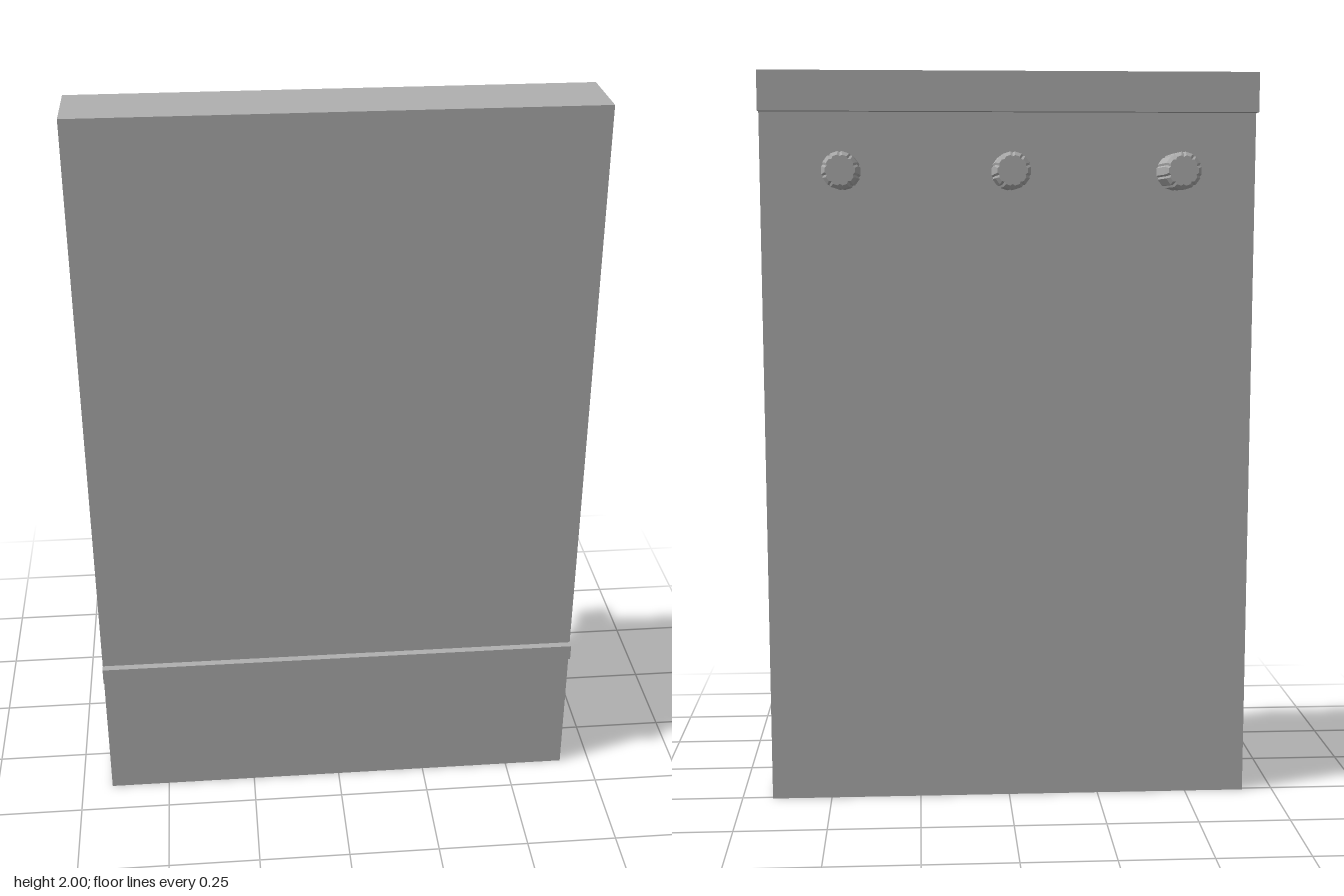
import * as THREE from 'three';

const WIDTH = 1.33;

// Closed shape from a list of [x, y] points
function polygon(points) {
  return new THREE.Shape(points.map(([x, y]) => new THREE.Vector2(x, y)));
}

// Fluted dowel with a chamfered tip, pointing to -z from z = 0
function dowelGeometry(radius, length) {
  const flutes = 10, points = [], step = (Math.PI * 2) / flutes;
  for (let i = 0; i < flutes; i++) {
    for (const [offset, r] of [[-0.33, radius], [0.33, radius], [0.5, radius * 0.93]]) {
      const a = (i + offset) * step;
      points.push([Math.cos(a) * r, Math.sin(a) * r]);
    }
  }
  const chamfer = 0.009;
  const geometry = new THREE.ExtrudeGeometry(polygon(points), {
    depth: length - chamfer, bevelEnabled: true, bevelSegments: 1,
    bevelSize: chamfer, bevelThickness: chamfer, bevelOffset: -chamfer,
  });
  return geometry.rotateY(Math.PI);
}

export function createModel() {
  const model = new THREE.Group();
  model.name = 'panel';
  const grey = new THREE.MeshStandardMaterial({ color: 0xb0b0b0 });
  grey.name = 'plain grey';

  const add = (name, geometry, x, y, z) => {
    const mesh = new THREE.Mesh(geometry, grey);
    mesh.name = name;
    mesh.position.set(x, y, z);
    model.add(mesh);
  };

  // Slab with the overhanging lip along its top rear edge; profile is (-z, y)
  const profile = polygon([
    [-0.152, 0], [0.01, 0], [0.01, 1.895], [0.049, 1.895], [0.049, 2], [-0.152, 2],
  ]);
  const slab = new THREE.ExtrudeGeometry(profile, { depth: WIDTH, bevelEnabled: false });
  slab.rotateY(Math.PI / 2);
  add('slabWithLip', slab, -WIDTH / 2, 0, 0);

  // Raised strip across the front
  add('frontStrip', new THREE.BoxGeometry(WIDTH, 0.044, 0.02), 0, 0.408, 0.162);

  // Three dowels below the lip, rooted inside the slab
  const dowel = dowelGeometry(0.049, 0.182);
  for (const x of [-0.445, 0, 0.445]) add('dowel', dowel, x, 1.738, 0.01);

  return model;
}
